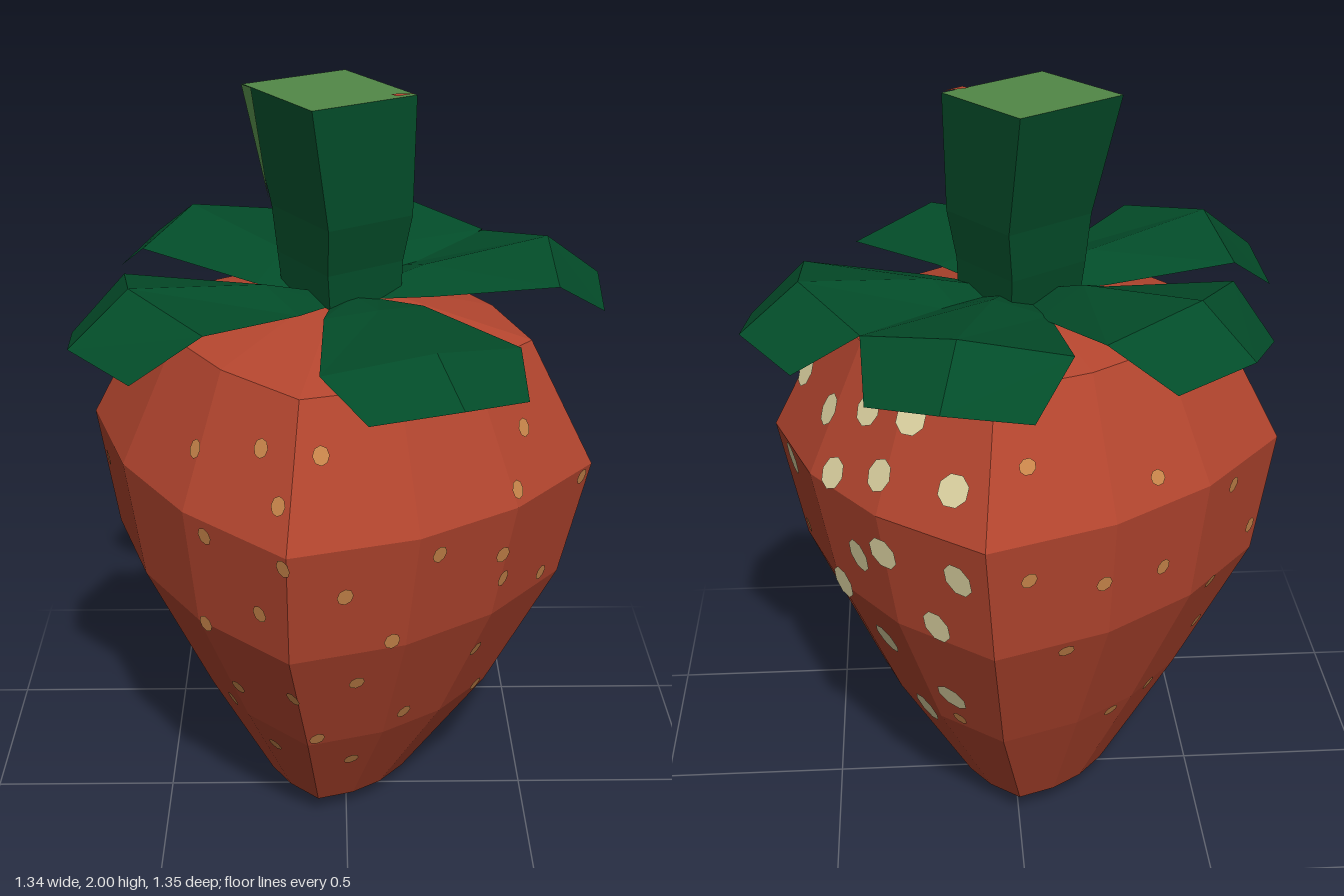
import * as THREE from 'three';

const material = (name, color) => {
  const m = new THREE.MeshStandardMaterial({ color });
  m.name = name;
  return m;
};

// Faceted geometry from a list of triangles (each corner is [x, y, z])
function faceted(triangles) {
  const g = new THREE.BufferGeometry();
  g.setAttribute('position', new THREE.Float32BufferAttribute(triangles.flat(2), 3));
  g.computeVertexNormals();
  return g;
}

// Skin over rings [y, centreX, centreZ, radius], listed from bottom to top.
// Every corner between the four main edges is pulled in by "inset".
const TURN = 0.19;
function loft(rings, sides, inset, tilt) {
  const points = rings.map(([y, cx, cz, r]) => Array.from({ length: sides }, (_, i) => {
    const a = TURN + (i / sides) * Math.PI * 2;
    const k = i % (sides / 4) === 0 ? r : r * inset;
    const x = k * Math.cos(a), z = k * Math.sin(a);
    return [cx + x, y - tilt * (x + z), cz + z];
  }));
  const tris = [];
  for (let j = 0; j < rings.length - 1; j++) {
    for (let i = 0; i < sides; i++) {
      const n = (i + 1) % sides;
      const [a, b, c, d] = [points[j][i], points[j + 1][i], points[j + 1][n], points[j][n]];
      if (rings[j + 1][3] > 0) tris.push([a, b, c]);
      if (rings[j][3] > 0) tris.push([a, c, d]);
    }
  }
  return faceted(tris);
}

// One leaf pointing along +x: three points per row, folded along the midrib
function leafGeometry(length, ridge, tip) {
  const rows = [ // [side reach, side height, half width, midrib reach, midrib height]
    [0.06, 1.49, 0.06, 0.06, 1.505],
    [0.19, 1.505, 0.13, 0.22, (1.505 + ridge) / 2],
    [0.485, ridge - 0.05, 0.25, 0.565, ridge],
    [0.645, tip - 0.035, 0.195, 0.72, tip],
  ].map(([s, sy, w, m, my]) => {
    const k = length / 0.72;
    return [[s * k, sy, -w], [m * k, my, 0], [s * k, sy, w]];
  });
  const tris = [];
  for (let j = 0; j < rows.length - 1; j++) {
    for (let i = 0; i < 2; i++) {
      const [a, b, c, d] = [rows[j][i], rows[j][i + 1], rows[j + 1][i + 1], rows[j + 1][i]];
      tris.push([a, b, c], [a, c, d]);
    }
  }
  return faceted(tris);
}

export function createModel() {
  const red = material('berry red', 0xb5462f);
  const green = material('leaf green', 0x034c29);
  green.side = THREE.DoubleSide;
  const lightGreen = material('cut stem green', 0x528847);
  const cream = material('cream seed', 0xe3d9a6);
  const tan = material('tan seed', 0xcc884c);

  const model = new THREE.Group();
  const add = (name, geometry, mat, parent = model) => {
    const mesh = new THREE.Mesh(geometry, mat);
    mesh.name = name;
    parent.add(mesh);
    return mesh;
  };

  // Berry
  const berry = add('berry', loft([
    [0, -0.04, -0.04, 0],
    [0.065, -0.04, -0.04, 0.205],
    [0.4, -0.025, -0.025, 0.415],
    [0.77, -0.03, -0.015, 0.6],
    [1.095, -0.02, -0.005, 0.66],
    [1.42, -0.02, 0.01, 0.49],
    [1.495, -0.01, -0.01, 0.14],
    [1.5, -0.01, -0.01, 0],
  ], 12, 0.87, 0.03), red);

  // Stem with a pale cut end, a pale sliver down one edge and a red fleck
  add('stem', loft([
    [1.45, -0.01, -0.02, 0.15],
    [1.58, -0.015, -0.03, 0.16],
    [1.7, -0.01, -0.025, 0.178],
    [1.995, -0.04, -0.04, 0.215],
  ], 4, 1, 0.02), green);
  add('stemCut', loft([
    [1.995, -0.04, -0.04, 0.215],
    [1.995, -0.04, -0.04, 0],
  ], 4, 1, 0.02), lightGreen);
  add('stemSliver', faceted([[[-0.254, 2, -0.079], [-0.192, 1.72, -0.058], [-0.229, 2, -0.04]]]), lightGreen);
  add('stemFleck', faceted([[[0.168, 1.994, 0.001], [0.105, 1.996, 0.015], [0.12, 1.995, 0.036]]]), red);

  // Five leaves: [direction in degrees, length, ridge height, tip height]
  const crown = new THREE.Group();
  crown.name = 'leafCrown';
  model.add(crown);
  [
    [69.7, 0.72, 1.535, 1.455],
    [153.3, 0.735, 1.595, 1.47],
    [223.9, 0.72, 1.61, 1.5],
    [286.6, 0.705, 1.59, 1.475],
    [342.5, 0.7, 1.588, 1.475],
  ].forEach(([deg, length, ridge, tip]) => {
    add('leaf', leafGeometry(length, ridge, tip), green, crown).rotation.y = -THREE.MathUtils.degToRad(deg);
  });

  // Seeds: thin discs dropped onto the skin from one side; u runs to that side's right
  const ray = new THREE.Raycaster();
  const forward = new THREE.Vector3(0, 0, 1);
  const seeds = new THREE.Group();
  seeds.name = 'seeds';
  model.add(seeds);
  function scatter(name, mat, angle, width, height, spots) {
    const out = new THREE.Vector3(Math.sin(angle), 0, Math.cos(angle));
    const right = new THREE.Vector3(Math.cos(angle), 0, -Math.sin(angle));
    const disc = new THREE.CircleGeometry(1, 8).scale(width, height, 1);
    for (const [u, y] of spots) {
      const from = out.clone().multiplyScalar(3).addScaledVector(right, u).setY(y);
      ray.set(from, out.clone().negate());
      const hit = ray.intersectObject(berry)[0];
      if (!hit) continue;
      const seed = add(name, disc, mat, seeds);
      seed.position.copy(hit.point).addScaledVector(hit.face.normal, 0.004);
      seed.quaternion.setFromUnitVectors(forward, hit.face.normal);
    }
  }

  // Large pale seeds on the right-back face
  scatter('largeSeed', cream, Math.PI / 2, 0.041, 0.046, [
    [-0.08, 1.24], [0.14, 1.235], [0.26, 1.29], [0.375, 1.32], [0.39, 1.18], [0.53, 1.21], [0.26, 1.12],
    [0.02, 1.04], [0.32, 0.92], [0.43, 0.99], [0.58, 1.0], [0.21, 0.775], [0.5, 0.82], [0.055, 0.7],
    [0.275, 0.64], [0.11, 0.565], [0.39, 0.53], [0.14, 0.375], [0.25, 0.4],
  ]);

  // Small seeds on the front, the right side and the left-back face
  scatter('smallSeed', tan, 0, 0.021, 0.024, [
    [-0.36, 1.235], [-0.2, 1.285], [-0.065, 1.285], [0.075, 1.39], [-0.16, 1.18], [0.43, 1.23], [0.41, 1.11],
    [-0.34, 1.05], [-0.15, 1.05], [0.215, 1.01], [-0.01, 0.94], [-0.21, 0.88], [0.385, 0.86], [-0.35, 0.77],
    [0.105, 0.775], [0.38, 0.94], [-0.135, 0.605], [0.02, 0.635], [0.33, 0.62], [0.145, 0.455], [0.35, 0.4],
    [-0.08, 0.42], [-0.3, 0.43], [-0.19, 0.3], [0.01, 0.275], [-0.28, 0.53],
  ]);
  scatter('smallSeed', tan, Math.PI / 2, 0.02, 0.022, [
    [-0.15, 1.05], [-0.18, 0.79], [-0.03, 0.81], [-0.28, 0.62], [0.05, 1.4], [0.06, 0.23], [0.15, 0.48],
    [0.36, 0.44],
  ]);
  scatter('smallSeed', tan, -Math.PI * 0.75, 0.02, 0.022, [
    [-0.38, 1.27], [-0.09, 1.18], [0.17, 1.07], [-0.43, 1.01], [-0.25, 0.95], [-0.07, 0.93], [0.31, 0.88],
    [0.41, 1.02], [0.14, 0.79], [-0.31, 0.76], [-0.04, 0.4], [0.22, 0.59], [0.1, 0.42],
  ]);

  return model;
}
